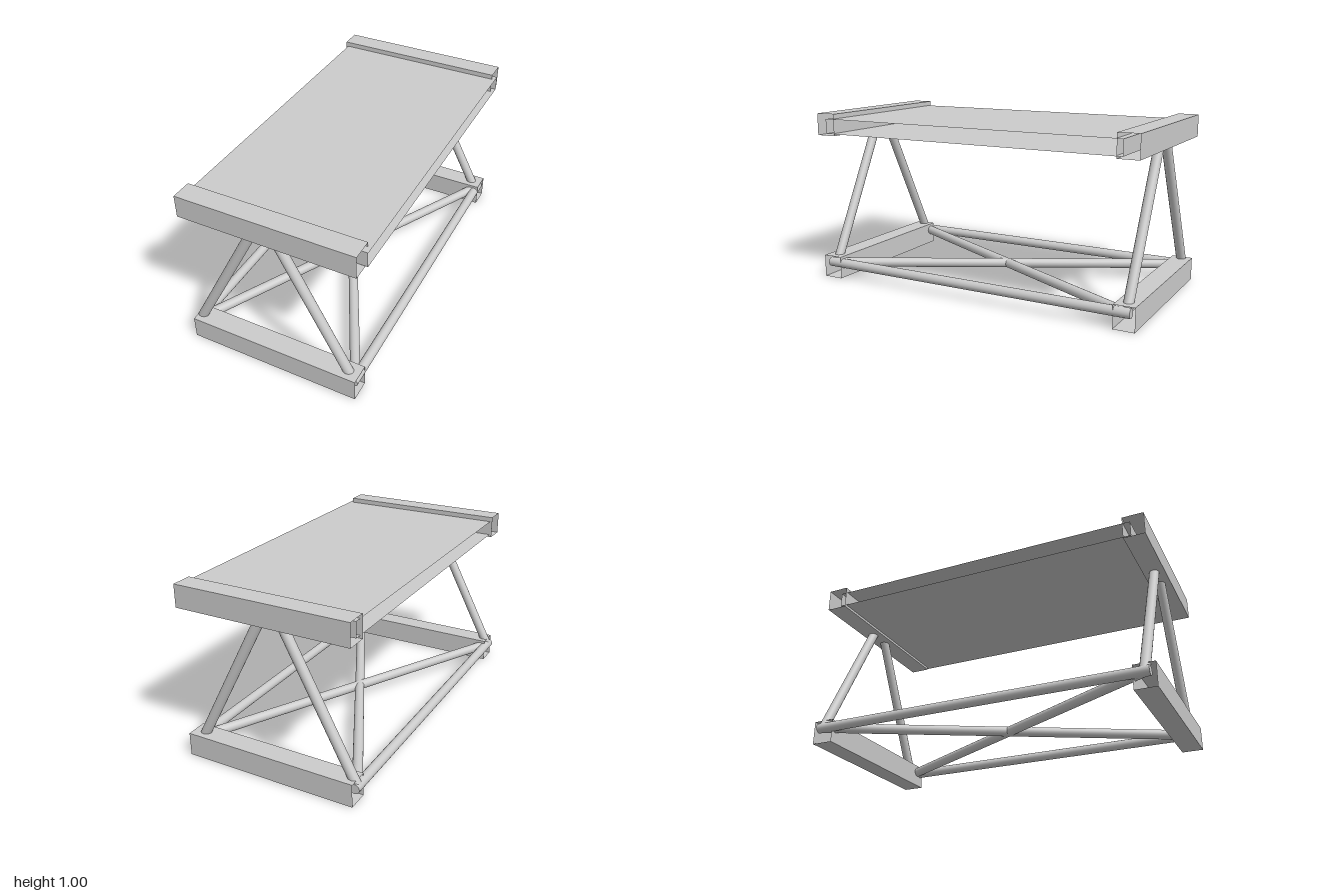
import * as THREE from 'three';

const grey = new THREE.MeshStandardMaterial({ color: 0xcccccc, side: THREE.DoubleSide });

// Thin-walled rectangular sleeve along x, open at both ends
function sleeve(name, x0, x1, y0, y1, z0, z1) {
  const geometry = new THREE.BoxGeometry(x1 - x0, y1 - y0, z1 - z0);
  // the box's first two sides (+x and -x) take 12 indices; drop them
  geometry.setIndex(Array.from(geometry.index.array).slice(12));
  geometry.clearGroups();
  geometry.translate((x0 + x1) / 2, (y0 + y1) / 2, (z0 + z1) / 2);
  const mesh = new THREE.Mesh(geometry, grey);
  mesh.name = name;
  return mesh;
}

// Round rod between two points
function rod(name, from, to, radius = 0.028) {
  const a = new THREE.Vector3(...from);
  const b = new THREE.Vector3(...to);
  const dir = b.clone().sub(a);
  const mesh = new THREE.Mesh(new THREE.CylinderGeometry(radius, radius, dir.length(), 20), grey);
  mesh.name = name;
  mesh.position.copy(a).add(b).multiplyScalar(0.5);
  mesh.quaternion.setFromUnitVectors(new THREE.Vector3(0, 1, 0), dir.normalize());
  return mesh;
}

export function createModel() {
  const model = new THREE.Group();
  model.name = 'platformTable';

  const footY = 0.09, rodZ = 0.94, xRight = -0.506, xLeft = 0.475;

  // Hollow deck
  model.add(sleeve('deck', -0.49, 0.53, 0.89, 0.976, -0.92, 0.92));

  for (const s of [1, -1]) {
    const end = s > 0 ? 'front' : 'back';
    const z0 = s > 0 ? 0.88 : -1;
    // Hollow beams at the deck ends and on the ground
    model.add(sleeve(end + 'TopBeam', -0.503, 0.51, 0.875, 1.004, z0, z0 + 0.12));
    model.add(sleeve(end + 'BaseBeam', -0.51, 0.502, 0, 0.133, z0, z0 + 0.12));
    // Sloping legs
    model.add(rod(end + 'RightLeg', [xRight, footY, s * rodZ], [-0.055, 0.955, s * rodZ]));
    model.add(rod(end + 'LeftLeg', [xLeft - 0.02, footY, s * rodZ], [-0.002, 0.955, s * rodZ]));
  }

  // Long base rails and crossed braces
  model.add(rod('rightRail', [xRight, footY, -0.97], [xRight, footY, 0.97]));
  model.add(rod('leftRail', [xLeft, footY, -0.97], [xLeft, footY, 0.97]));
  model.add(rod('crossBraceA', [xRight, footY, rodZ], [xLeft, footY, -rodZ]));
  model.add(rod('crossBraceB', [xLeft, footY, rodZ], [xRight, footY, -rodZ]));

  return model;
}
